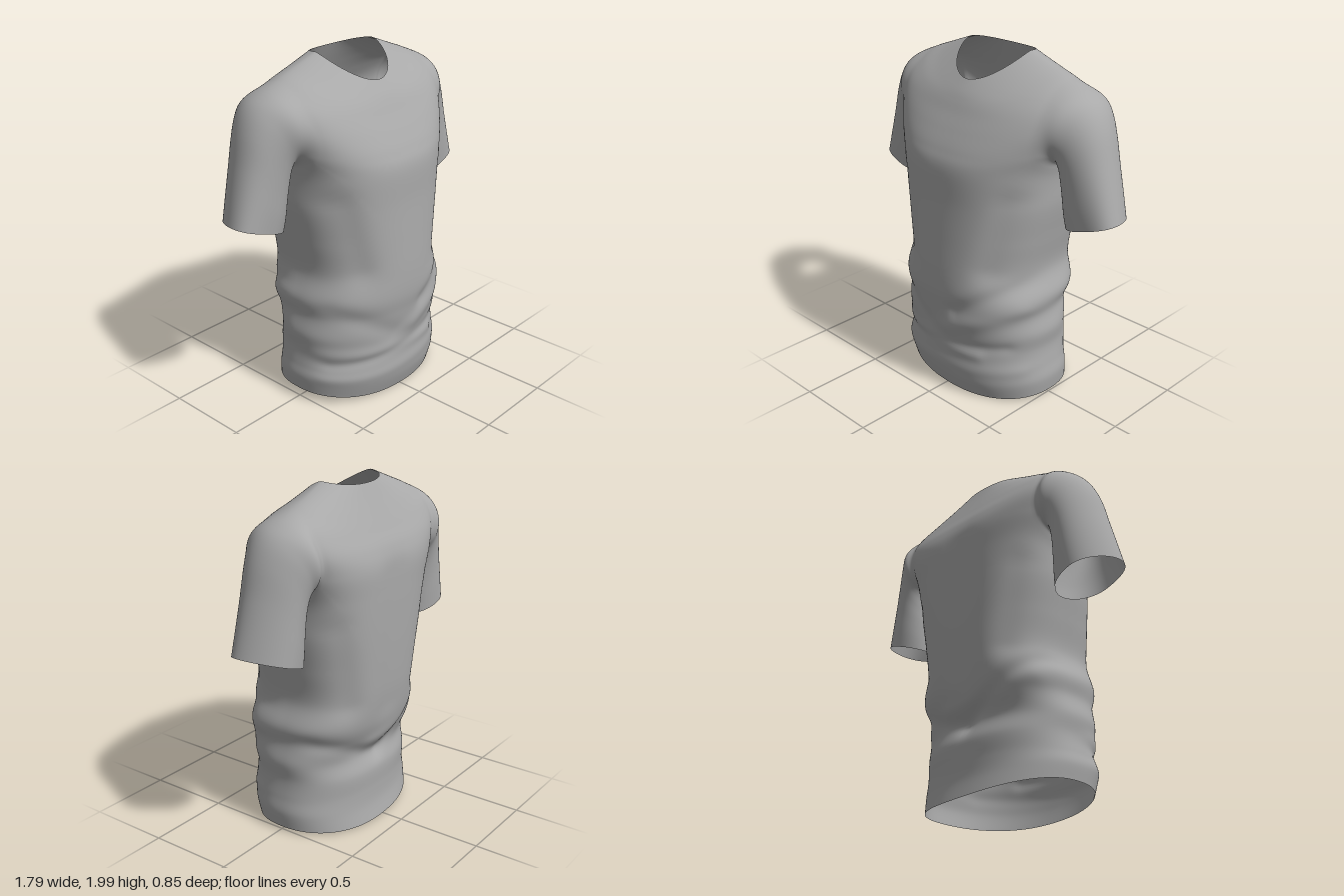
import * as THREE from 'three';

const { smoothstep, clamp, lerp } = THREE.MathUtils;
const fabric = new THREE.MeshStandardMaterial({ color: 0xa9a9a9, side: THREE.DoubleSide });
fabric.name = 'grey fabric';

// Smooth interpolation through rows of control numbers, t in 0..1
function sampleRows(rows, t) {
  const f = t * (rows.length - 1);
  const i = Math.min(Math.floor(f), rows.length - 2);
  const u = f - i;
  const at = (k) => rows[clamp(k, 0, rows.length - 1)];
  return rows[i].map((b, k) => {
    const a = at(i - 1)[k], c = at(i + 1)[k], d = at(i + 2)[k];
    return b + 0.5 * u * (c - a + u * (2 * a - 5 * b + 4 * c - d + u * (3 * (b - c) + d - a)));
  });
}

// Torso rings: side y, half width, side z, front y, front z, back y, back z,
// front squareness, back squareness
const level = (y, x, zs, zf, zb, nf, nb) => [y, x, zs, y, zf, y, zb, nf, nb];
const torsoRows = [
  level(0.0, 0.51, 0, 0.35, -0.37, 2.3, 2.3),
  level(0.1, 0.52, 0, 0.38, -0.35, 2.3, 2.3),
  level(0.2, 0.507, 0, 0.385, -0.345, 2.3, 2.3),
  level(0.32, 0.495, 0, 0.385, -0.345, 2.3, 2.4),
  level(0.43, 0.505, 0, 0.395, -0.32, 2.3, 2.4),
  level(0.54, 0.485, 0, 0.41, -0.36, 2.3, 2.5),
  level(0.65, 0.495, 0, 0.425, -0.395, 2.3, 2.6),
  level(0.8, 0.45, 0, 0.425, -0.415, 2.3, 2.8),
  level(1.0, 0.475, -0.02, 0.415, -0.425, 2.35, 2.8),
  level(1.2, 0.505, -0.04, 0.405, -0.43, 2.4, 2.9),
  level(1.4, 0.515, -0.07, 0.4, -0.432, 2.5, 3),
  [1.56, 0.57, -0.1, 1.5, 0.37, 1.55, -0.428, 2.5, 3],
  [1.72, 0.62, -0.11, 1.6, 0.32, 1.65, -0.4, 2.4, 3],
  [1.83, 0.61, -0.11, 1.68, 0.275, 1.74, -0.353, 2.3, 2.8],
  [1.892, 0.51, -0.1, 1.74, 0.243, 1.83, -0.305, 2.2, 2.5],
  [1.943, 0.38, -0.1, 1.79, 0.212, 1.9, -0.268, 2, 2.3],
  [2.0, 0.23, -0.09, 1.85, 0.165, 1.975, -0.23, 1.85, 2.2],
];

// Cloth folds: face (1 front, -1 back), x0, y0, x1, y1, width, height
const folds = [
  [1, 0.05, 0.43, 0.46, 0.6, 0.055, 0.014],
  [1, 0.12, 0.56, 0.46, 0.75, 0.05, -0.013],
  [1, -0.48, 0.33, 0.25, 0.29, 0.04, 0.009],
  [1, -0.45, 0.25, 0.4, 0.36, 0.035, -0.008],
  [1, -0.48, 0.14, 0.45, 0.2, 0.045, 0.007],
  [1, -0.46, 0.62, -0.12, 0.42, 0.055, -0.009],
  [1, 0.42, 1.25, 0.33, 0.85, 0.08, -0.018],
  [1, -0.42, 1.25, -0.33, 0.85, 0.08, -0.018],
  [-1, -0.48, 0.72, 0, 0.42, 0.045, -0.012],
  [-1, 0.48, 0.58, 0, 0.41, 0.045, -0.012],
  [-1, -0.42, 0.6, 0.12, 0.5, 0.06, 0.01],
  [-1, 0, 0.75, 0, 1.5, 0.12, -0.016],
  [-1, 0.42, 1.25, 0.33, 0.8, 0.08, -0.014],
  [-1, -0.42, 1.25, -0.33, 0.8, 0.08, -0.014],
];

function foldHeight(x, y, facing) {
  let h = 0;
  for (const [face, x0, y0, x1, y1, w, amp] of folds) {
    const dx = x1 - x0, dy = y1 - y0;
    const u = clamp(((x - x0) * dx + (y - y0) * dy) / (dx * dx + dy * dy), 0, 1);
    const d = Math.hypot(x - x0 - u * dx, y - y0 - u * dy) / w;
    h += amp * Math.exp(-d * d) * smoothstep(face * facing, -0.1, 0.5);
  }
  return h;
}

function torsoPoint(angle, t) {
  const [ys, w, zs, yf, zf, yb, zb, nf, nb] = sampleRows(torsoRows, t);
  const c = Math.cos(angle), s = Math.sin(angle);
  const front = s > 0;
  const n = front ? nf : nb;
  let x = w * Math.sign(c) * Math.abs(c) ** (2 / n);
  let y = ys + ((front ? yf : yb) - ys) * Math.abs(s) ** 1.4;
  let z = zs + ((front ? zf : zb) - zs) * Math.abs(s) ** (2 / n);
  const h = foldHeight(x, y, s);
  x += h * c;
  z += h * s;
  // gently uneven hem
  y += (0.005 + 0.15 * (x - 0.12) ** 2) * (1 - smoothstep(y, 0, 0.35));
  return [x, y, z];
}

// Torso grid, with a round armhole on each side: centre row, half columns, half rows
const AROUND = 128, ALONG = 128, SLEEVE_STEPS = 42;
const HOLE_ROW = 97, HOLE_COLS = 14, HOLE_ROWS = 16;

// Grid column to the side it belongs to and its offset towards the front
function columnOffset(i) {
  if (i <= 32) return [1, i];
  return i >= 96 ? [1, i - AROUND] : [-1, AROUND / 2 - i];
}

// Torso point in armhole units; the square grid bends into a circle around the hole
function gridPoint(side, q, p) {
  const square = Math.max(Math.abs(q), Math.abs(p));
  const k = square > 0 ? lerp(square / Math.hypot(q, p), 1, smoothstep(square, 1, 1.8)) : 1;
  const angle = (q * k * HOLE_COLS * Math.PI * 2) / AROUND;
  return torsoPoint(side > 0 ? angle : Math.PI - angle, (HOLE_ROW + p * k * HOLE_ROWS) / ALONG);
}

// Sleeve rings: top x, y, z, bottom x, y, z, front z, back z
const sleeveRings = [
  [0.62, 1.842, -0.1, 0.53, 1.44, -0.1, 0.135, -0.34],
  [0.7, 1.775, -0.1, 0.535, 1.395, -0.1, 0.1, -0.315],
  [0.76, 1.66, -0.09, 0.53, 1.325, -0.1, 0.08, -0.297],
  [0.81, 1.49, -0.08, 0.525, 1.25, -0.11, 0.068, -0.288],
  [0.855, 1.33, -0.07, 0.525, 1.15, -0.12, 0.06, -0.284],
  [0.893, 1.19, -0.06, 0.53, 1.075, -0.13, 0.05, -0.28],
];

function ringPoint([tx, ty, tz, bx, by, bz, zf, zb], angle, side) {
  const c = Math.cos(angle), s = Math.sin(angle);
  const k = (1 + c) / 2;
  const zm = (zf + zb) / 2;
  const skew = (c > 0 ? tz - zm : bz - zm) * c * c;
  return [side * (bx + (tx - bx) * k), by + (ty - by) * k, zm + skew + (s * (zf - zb)) / 2];
}

function shirtGeometry() {
  const pos = [], index = [];
  const rims = { 1: [], '-1': [] };

  // torso
  for (let j = 0; j <= ALONG; j++) {
    for (let i = 0; i < AROUND; i++) {
      const [side, di] = columnOffset(i);
      const q = di / HOLE_COLS, p = (j - HOLE_ROW) / HOLE_ROWS;
      if (Math.max(Math.abs(q), Math.abs(p)) === 1) {
        rims[side].push({ q, p, id: pos.length / 3, angle: Math.atan2(q, p) });
      }
      pos.push(...gridPoint(side, q, p));
    }
  }
  for (let j = 0; j < ALONG; j++) {
    for (let i = 0; i < AROUND; i++) {
      const inHole = Math.abs(columnOffset(i + 0.5)[1]) < HOLE_COLS
        && Math.abs(j + 0.5 - HOLE_ROW) < HOLE_ROWS;
      if (inHole) continue;
      const a = j * AROUND + i, b = j * AROUND + ((i + 1) % AROUND);
      index.push(a, a + AROUND, b, b, a + AROUND, b + AROUND);
    }
  }

  // sleeves, growing out of the armhole rims
  for (const side of [1, -1]) {
    const rim = rims[side].sort((a, b) => a.angle - b.angle);
    const columns = rim.map(({ q, p, angle }) => [
      gridPoint(side, q * 1.4, p * 1.4),
      gridPoint(side, q, p),
      ...sleeveRings.map((ring) => ringPoint(ring, angle, side)),
    ]);
    const start = 1 / (sleeveRings.length + 1);
    let previous = rim.map((v) => v.id);
    for (let step = 1; step <= SLEEVE_STEPS; step++) {
      const t = lerp(start, 1, step / SLEEVE_STEPS);
      const current = columns.map((rows) => pos.push(...sampleRows(rows, t)) / 3 - 1);
      for (let i = 0; i < rim.length; i++) {
        const n = (i + 1) % rim.length;
        const a = previous[i], b = previous[n], c = current[i], d = current[n];
        if (side > 0) index.push(a, b, c, b, d, c);
        else index.push(a, c, b, b, c, d);
      }
      previous = current;
    }
  }

  const g = new THREE.BufferGeometry();
  g.setAttribute('position', new THREE.Float32BufferAttribute(pos, 3));
  g.setIndex(index);
  g.computeVertexNormals();
  return g;
}

export function createModel() {
  const shirt = new THREE.Group();
  shirt.name = 'shirt';
  const cloth = new THREE.Mesh(shirtGeometry(), fabric);
  cloth.name = 'bodyAndSleeves';
  shirt.add(cloth);
  return shirt;
}
